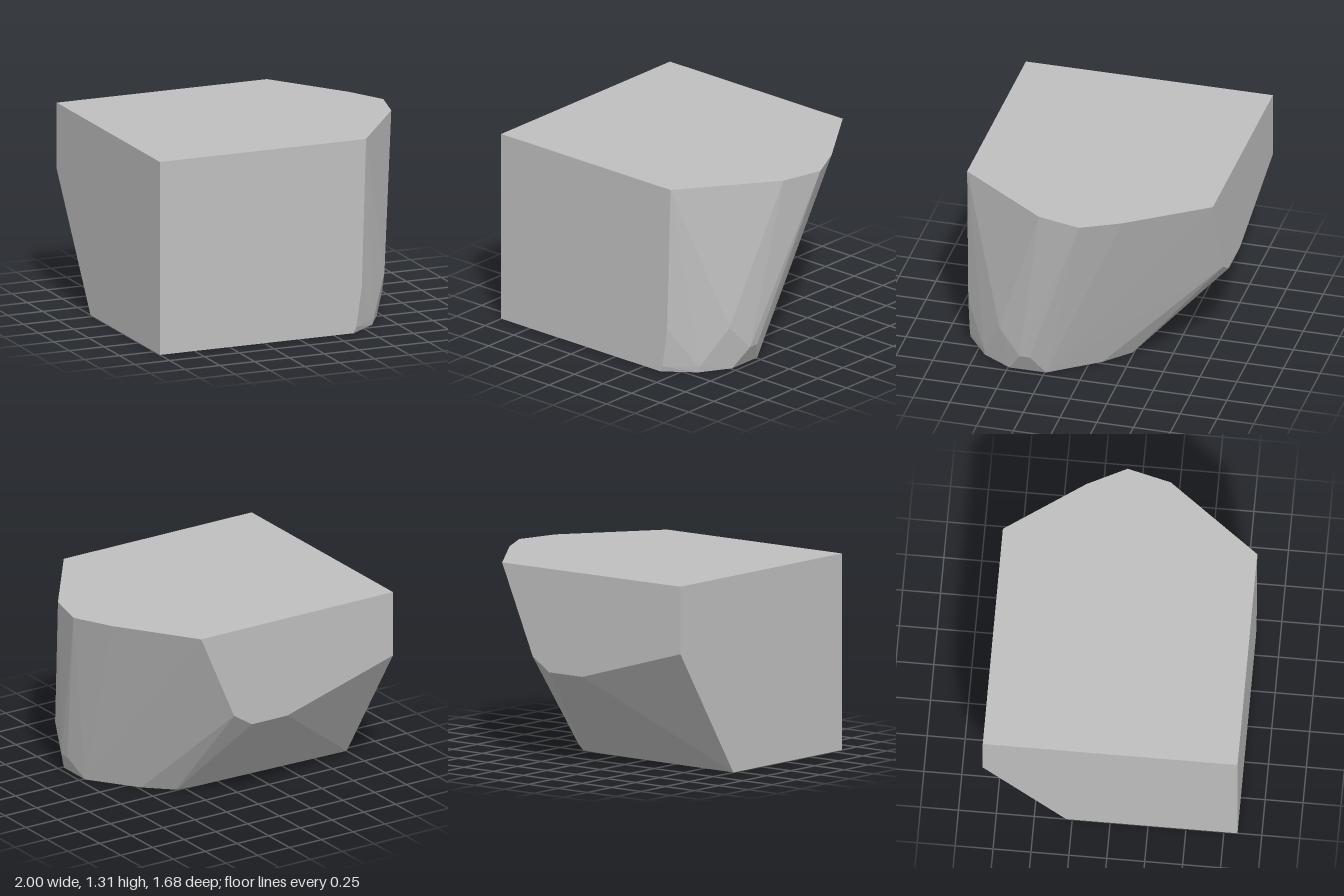
import * as THREE from 'three';
import { ConvexGeometry } from 'three/addons/geometries/ConvexGeometry.js';

export function createModel() {
  const group = new THREE.Group();
  const grey = new THREE.MeshStandardMaterial({ color: 0xbfbfbf });
  grey.name = 'plain grey';

  // Each ring lists [x, z] corners at one height
  const rings = [
    // flat base
    [0, [[-1, 0.84], [0.39, 0.84], [0.59, 0.69], [0.71, 0.49], [0.71, 0.24], [0.55, 0.02],
      [0.48, -0.08], [0.31, -0.24], [0.15, -0.26], [-1, -0.29]]],
    // chamfered foot of the rounded side
    [0.04, [[0.41, 0.84], [0.6, 0.69]]],
    [0.145, [[0.79, 0.4], [0.79, 0.33]]],
    [0.31, [[0.45, 0.84], [0.74, 0.55]]],
    // lower edge of the back face
    [0.62, [[-0.17, -0.84], [0.11, -0.84]]],
    [0.71, [[0.25, -0.84]]],
    [0.86, [[-1, -0.84]]],
    // flat top
    [1.31, [[-1, -0.84], [0.51, -0.84], [0.87, -0.32], [1, -0.06], [0.93, 0.23],
      [0.48, 0.84], [-1, 0.84]]],
  ];
  const corners = rings.flatMap(([y, ring]) => ring.map(([x, z]) => new THREE.Vector3(x, y, z)));

  // Faceted convex block
  const block = new THREE.Mesh(new ConvexGeometry(corners), grey);
  block.name = 'facetedBlock';
  group.add(block);
  return group;
}
